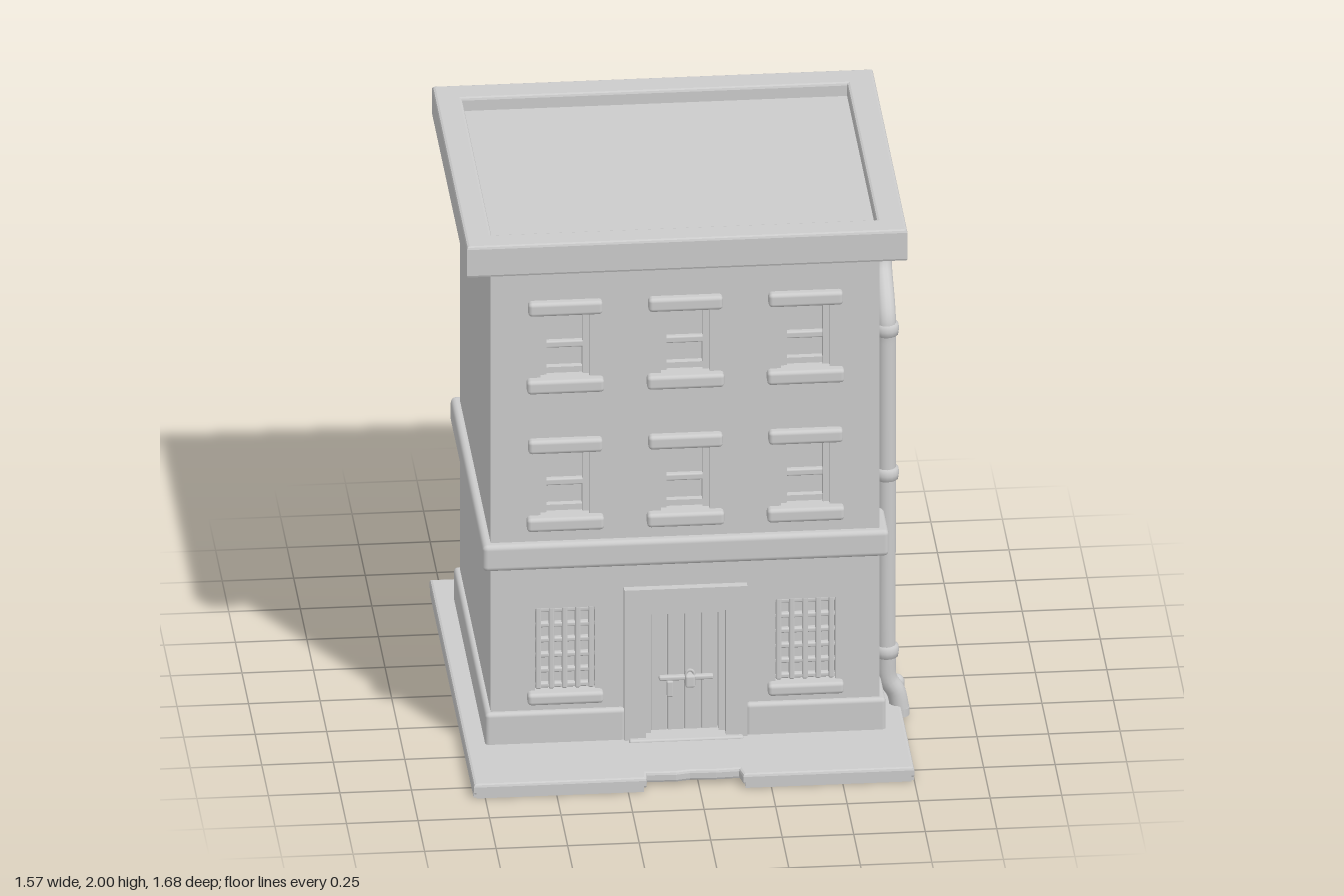
import * as THREE from 'three';
import { RoundedBoxGeometry } from 'three/addons/geometries/RoundedBoxGeometry.js';

const grey = new THREE.MeshStandardMaterial({ color: 0xcccccc });

function add(parent, name, geometry, x = 0, y = 0, z = 0) {
  const mesh = new THREE.Mesh(geometry, grey);
  mesh.name = name;
  mesh.position.set(x, y, z);
  parent.add(mesh);
  return mesh;
}

// Box given by its limits on each axis; r rounds the edges
function block(parent, name, [x0, x1], [y0, y1], [z0, z1], r = 0) {
  const size = [x1 - x0, y1 - y0, z1 - z0];
  const geometry = r ? new RoundedBoxGeometry(...size, 2, r) : new THREE.BoxGeometry(...size);
  return add(parent, name, geometry, (x0 + x1) / 2, (y0 + y1) / 2, (z0 + z1) / 2);
}

function rect(Type, x0, x1, y0, y1) {
  return new Type([[x0, y0], [x1, y0], [x1, y1], [x0, y1]].map(p => new THREE.Vector2(...p)));
}

const columns = [-0.42, 0, 0.42];
const storeys = [0.92, 1.45];
const RECESS = 0.06;

// Upper window: lintel, sill and two sashes, the lower one set further back
function sashWindow(parent, x, y) {
  const g = new THREE.Group();
  g.name = 'sashWindow';
  g.position.set(x, y, 0);
  parent.add(g);
  block(g, 'lintel', [-0.13, 0.13], [0.245, 0.297], [-0.03, 0.03], 0.014);
  block(g, 'sill', [-0.135, 0.135], [-0.052, 0], [-0.05, 0.035], 0.014);
  for (const s of [-1, 1]) {
    block(g, 'jamb', [s * 0.075 - 0.012, s * 0.075 + 0.012], [0, 0.25], [-RECESS, -0.022]);
  }
  block(g, 'upperSash', [-0.07, 0.07], [0.11, 0.25], [-RECESS, -0.045]);
  block(g, 'meetingRail', [-0.07, 0.07], [0.1, 0.125], [-RECESS, -0.025], 0.006);
  block(g, 'topRail', [-0.07, 0.07], [0.225, 0.25], [-RECESS, -0.03]);
  block(g, 'bottomRail', [-0.07, 0.07], [0, 0.022], [-RECESS, -0.035]);
}

// Ground floor window with a lattice of bars
function barredWindow(parent, x) {
  const g = new THREE.Group();
  g.name = 'barredWindow';
  g.position.set(x, 0.245, 0);
  parent.add(g);
  block(g, 'sill', [-0.133, 0.133], [-0.045, 0], [-0.05, 0.035], 0.014);
  for (let i = 0; i < 5; i++) {
    const bx = (i - 2) * 0.046;
    block(g, 'uprightBar', [bx - 0.01, bx + 0.01], [0, 0.315], [-0.034, -0.008], 0.006);
  }
  for (let j = 0; j < 6; j++) {
    const by = 0.012 + j * 0.058;
    block(g, 'crossBar', [-0.105, 0.105], [by - 0.009, by + 0.009], [-0.036, -0.012], 0.006);
  }
}

// One windowed wall, built facing +z with its outer face at z = 0
function facade(name, hasDoor) {
  const g = new THREE.Group();
  g.name = name;
  const wall = rect(THREE.Shape, -0.68, 0.68, 0.02, 1.9);
  for (const x of columns) {
    for (const y of storeys) {
      wall.holes.push(rect(THREE.Path, x - 0.085, x + 0.085, y, y + 0.25));
      sashWindow(g, x, y);
    }
    if (x === 0 && hasDoor) continue;
    wall.holes.push(rect(THREE.Path, x - 0.105, x + 0.105, 0.245, 0.56));
    barredWindow(g, x);
  }
  if (hasDoor) wall.holes.push(rect(THREE.Path, -0.14, 0.14, 0.04, 0.54));
  const geometry = new THREE.ExtrudeGeometry(wall, { depth: RECESS, bevelEnabled: false });
  add(g, 'wall', geometry, 0, 0, -RECESS);
  return g;
}

function doorway() {
  const g = new THREE.Group();
  g.name = 'doorway';
  // Flat surround with a thin raised inner edge
  const arch = (w, h, iw, ih) => new THREE.Shape(
    [[-w, 0.04], [-iw, 0.04], [-iw, ih], [iw, ih], [iw, 0.04], [w, 0.04], [w, h], [-w, h]]
      .map(p => new THREE.Vector2(...p)));
  add(g, 'doorSurround', new THREE.ExtrudeGeometry(arch(0.215, 0.63, 0.14, 0.54),
    { depth: 0.06, bevelEnabled: false }), 0, 0, -0.03);
  add(g, 'doorFrame', new THREE.ExtrudeGeometry(arch(0.14, 0.545, 0.118, 0.515),
    { depth: 0.05, bevelEnabled: false }), 0, 0, -RECESS);
  for (let i = 0; i < 4; i++) {
    const x = -0.118 + i * 0.059;
    block(g, 'doorPlank', [x, x + 0.058], [0.04, 0.515], [-RECESS, -0.032], 0.005);
  }
  // Bolt, padlock and latch
  block(g, 'bolt', [-0.09, 0.1], [0.255, 0.272], [-0.035, -0.012], 0.006);
  block(g, 'padlock', [0, 0.035], [0.235, 0.282], [-0.03, 0.01], 0.008);
  const shackle = add(g, 'shackle', new THREE.TorusGeometry(0.014, 0.005, 6, 12, Math.PI), 0.0175, 0.28, -0.008);
  shackle.scale.y = 1.2;
  block(g, 'latchPlate', [-0.062, -0.04], [0.19, 0.25], [-0.035, -0.018], 0.005);
  block(g, 'doorStep', [-0.2, 0.2], [0.03, 0.06], [-RECESS, 0.05], 0.008);
  return g;
}

// Pavement slab with a broken notch before the door, and cobbles underneath
function pavement() {
  const g = new THREE.Group();
  g.name = 'pavement';
  const outline = new THREE.Shape([[-0.78, -0.83], [-0.195, -0.83], [-0.19, -0.785], [-0.08, -0.79],
    [-0.03, -0.78], [0.06, -0.785], [0.15, -0.78], [0.16, -0.83], [0.74, -0.83], [0.74, 0.83], [-0.78, 0.83]]
    .map(p => new THREE.Vector2(...p)));
  const slab = new THREE.ExtrudeGeometry(outline,
    { depth: 0.02, bevelThickness: 0.01, bevelSize: 0.01, bevelSegments: 2 });
  slab.rotateX(-Math.PI / 2);
  add(g, 'slab', slab, 0, 0.022, 0);

  let seed = 7;
  const random = () => (seed = (seed * 16807) % 2147483647) / 2147483647;
  const rows = 19, step = 1.64 / rows;
  for (let r = 0; r < rows; r++) {
    const z = -0.82 + r * step;
    for (let x = -0.775; x < 0.7;) {
      let end = x + 0.055 + random() * 0.085;
      if (end > 0.69) end = 0.735;
      const inNotch = r === rows - 1 && end > -0.2 && x < 0.17;
      if (!inNotch) {
        block(g, 'cobble', [x + 0.007, end - 0.007], [0, 0.016], [z + 0.007, z + step - 0.007]);
      }
      x = end;
    }
  }
  // Rim holding the cobbles
  block(g, 'rim', [-0.79, -0.775], [0, 0.03], [-0.83, 0.83]);
  block(g, 'rim', [0.735, 0.75], [0, 0.03], [-0.83, 0.83]);
  block(g, 'rim', [-0.78, 0.74], [0, 0.03], [-0.84, -0.823]);
  block(g, 'rim', [-0.78, -0.195], [0, 0.03], [0.823, 0.84]);
  block(g, 'rim', [0.16, 0.74], [0, 0.03], [0.823, 0.84]);
  return g;
}

function drainpipe() {
  const g = new THREE.Group();
  g.name = 'drainpipe';
  const path = new THREE.CatmullRomCurve3([[0.7, 1.9, 0.15], [0.7, 1.8, 0.15], [0.7, 1.7, 0.15],
    [0.7, 1.66, 0.17], [0.7, 1.58, 0.28], [0.7, 1.53, 0.315], [0.7, 1.45, 0.315], [0.7, 0.9, 0.315],
    [0.7, 0.25, 0.312], [0.705, 0.15, 0.308], [0.735, 0.095, 0.305], [0.748, 0.03, 0.305]]
    .map(p => new THREE.Vector3(...p)));
  add(g, 'pipe', new THREE.TubeGeometry(path, 120, 0.034, 14));
  add(g, 'outlet', new THREE.CylinderGeometry(0.034, 0.034, 0.03, 14), 0.748, 0.022, 0.305);
  for (const [y, z] of [[1.86, 0.15], [1.5, 0.315], [0.945, 0.315], [0.26, 0.312]]) {
    const ring = new THREE.LatheGeometry([[0.03, -0.025], [0.042, -0.02], [0.045, 0], [0.042, 0.02], [0.03, 0.025]]
      .map(p => new THREE.Vector2(...p)), 16);
    add(g, 'collar', ring, 0.7, y, z);
  }
  add(g, 'drainStub', new THREE.CapsuleGeometry(0.03, 0.05, 5, 12), 0.742, 0.07, 0.23);
  return g;
}

export function createModel() {
  const model = new THREE.Group();
  model.name = 'townhouse';
  model.add(pavement());

  // Solid core between the two windowed walls
  block(model, 'core', [-0.7, 0.66], [0.02, 1.9], [-0.61, 0.44]);
  const front = facade('frontWall', true);
  front.position.set(-0.02, 0, 0.5);
  front.add(doorway());
  const back = facade('backWall', false);
  back.position.set(-0.02, 0, -0.67);
  back.rotation.y = Math.PI;
  model.add(front, back);

  // Plinth, split at the doorway, and string course
  block(model, 'plinth', [-0.72, 0.68], [0.03, 0.17], [-0.69, 0.4], 0.015);
  block(model, 'plinth', [-0.72, -0.23], [0.03, 0.17], [0.3, 0.52], 0.015);
  block(model, 'plinth', [0.19, 0.68], [0.03, 0.17], [0.3, 0.52], 0.015);
  block(model, 'stringCourse', [-0.73, 0.69], [0.72, 0.82], [-0.705, 0.53], 0.018);

  // Parapet ring around the sunken flat roof
  const ring = rect(THREE.Shape, -0.78, 0.74, -0.57, 0.73);
  ring.holes.push(rect(THREE.Path, -0.705, 0.66, -0.49, 0.64));
  const parapet = new THREE.ExtrudeGeometry(ring,
    { depth: 0.1, bevelThickness: 0.01, bevelSize: 0.01, bevelSegments: 2 });
  parapet.rotateX(-Math.PI / 2);
  add(model, 'parapet', parapet, 0, 1.89, 0);
  block(model, 'roof', [-0.72, 0.67], [1.885, 1.95], [-0.65, 0.5]);

  model.add(drainpipe());
  return model;
}
